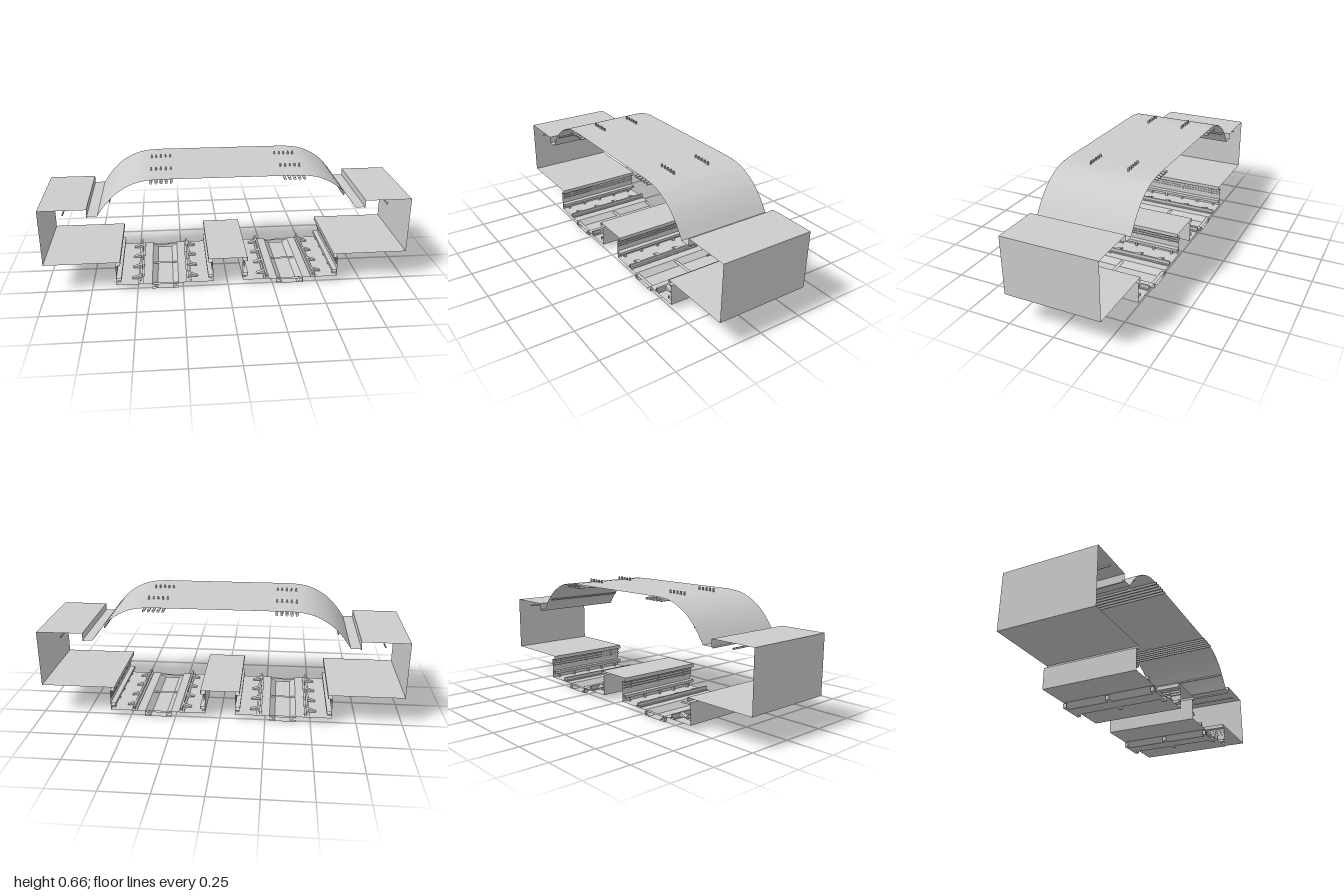
import * as THREE from 'three';

const HALF = 0.26; // half length of the tunnel section along z

export function createModel() {
  const model = new THREE.Group();
  model.name = 'stationTunnelSection';
  const concrete = new THREE.MeshStandardMaterial({ color: 0xcccccc, side: THREE.DoubleSide });
  concrete.name = 'concreteGrey';

  function add(parent, name, geometry, x = 0, y = 0, z = 0) {
    const mesh = new THREE.Mesh(geometry, concrete);
    mesh.name = name;
    mesh.position.set(x, y, z);
    parent.add(mesh);
    return mesh;
  }

  // Thin sheet: an [x, y] profile swept along z, smooth or with hard folds
  function sheet(points, smooth = false, z0 = -HALF, z1 = HALF) {
    const pos = [], index = [];
    points.forEach(([x, y]) => pos.push(x, y, z0, x, y, z1));
    for (let i = 0; i < points.length - 1; i++) {
      const a = i * 2;
      index.push(a, a + 1, a + 2, a + 1, a + 3, a + 2);
    }
    let g = new THREE.BufferGeometry();
    g.setAttribute('position', new THREE.Float32BufferAttribute(pos, 3));
    g.setIndex(index);
    if (!smooth) g = g.toNonIndexed();
    g.computeVertexNormals();
    return g;
  }

  // Hollow rectangular bar along z, open at both ends
  function tube(w, h, z0 = -HALF, z1 = HALF) {
    const a = w / 2, b = h / 2;
    return sheet([[-a, -b], [-a, b], [a, b], [a, -b], [-a, -b]], false, z0, z1);
  }

  // Vaulted ceiling
  const rise = [[0.69, 0.445], [0.65, 0.502], [0.6, 0.556], [0.55, 0.592],
    [0.49, 0.621], [0.43, 0.635], [0.36, 0.64]];
  const spline = new THREE.SplineCurve(rise.map(p => new THREE.Vector2(...p)));
  const half = spline.getPoints(24).map(p => [p.x, p.y]);
  const vault = [...half.map(([x, y]) => [-x, y]), ...half.slice().reverse()];
  add(model, 'vaultedCeiling', sheet(vault, true));

  // Central platform with its overhanging lips
  add(model, 'centralPlatform', sheet([[-0.083, 0.03], [-0.083, 0.147], [-0.108, 0.147],
    [-0.108, 0.168], [0.108, 0.168], [0.108, 0.147], [0.083, 0.147], [0.083, 0.03]]));

  for (const s of [-1, 1]) {
    const side = new THREE.Group();
    side.name = s > 0 ? 'leftSide' : 'rightSide';
    model.add(side);
    const mirror = pts => pts.map(([x, y]) => [s * x, y]);

    // Platform, outer wall and stepped ceiling
    add(side, 'sidePlatformAndWall', sheet(mirror([[0.615, 0.03], [0.615, 0.147], [0.59, 0.147],
      [0.59, 0.168], [1, 0.168], [1, 0.483], [0.745, 0.483], [0.745, 0.445], [0.69, 0.445]])));

    // Track bed with a central drain
    add(side, 'trackBed', sheet(mirror([[0.083, 0.03], [0.275, 0.03], [0.305, 0.001],
      [0.39, 0.001], [0.42, 0.03], [0.615, 0.03]])));
    for (const z of [-0.25, 0, 0.25]) {
      add(side, 'drainBeam', tube(0.148, 0.024, -0.01, 0.01), s * 0.3485, 0.012, z);
    }

    // Strip lights below the ceilings
    for (const [x, y] of [[0.87, 0.455], [0.745, 0.441], [0.622, 0.52]]) {
      add(side, 'stripLight', tube(0.006, 0.008, -0.25, 0.25), s * x, y);
    }

    // Overhead pipes and their hangers, which pass through the vault
    for (let i = 0; i < 5; i++) {
      const x = s * (0.298 + i * 0.026);
      const pipe = new THREE.CylinderGeometry(0.007, 0.007, 0.54, 10, 1, true);
      pipe.rotateX(Math.PI / 2);
      add(side, 'overheadPipe', pipe, x, 0.625);
      for (const z of [-0.105, 0.109]) {
        add(side, 'pipeHanger', new THREE.BoxGeometry(0.008, 0.024, 0.008), x, 0.644, z);
      }
    }

    for (const t of [-1, 1]) {
      // Running rail with wedge fasteners on its outer side
      const rail = s * 0.349 + t * 0.133;
      add(side, 'railFoot', tube(0.03, 0.006), rail, 0.033);
      add(side, 'railHead', tube(0.01, 0.018), rail, 0.045);
      const wedge = new THREE.Shape();
      wedge.moveTo(0, 0.035);
      wedge.lineTo(t * 0.05, 0.035);
      wedge.lineTo(t * 0.045, 0.04);
      wedge.lineTo(t * 0.005, 0.053);
      for (let i = 0; i < 4; i++) {
        const z = -0.195 + i * 0.13;
        const g = new THREE.ExtrudeGeometry(wedge, { depth: 0.024, bevelEnabled: false });
        add(side, 'railFastener', g, rail, 0, z - 0.012);
      }

      // Covered conductor rail beside the wall
      const cover = s * 0.349 + t * 0.252;
      add(side, 'conductorCover', tube(0.028, 0.016), cover, 0.063);
      for (let i = 0; i < 5; i++) {
        add(side, 'conductorPost', new THREE.BoxGeometry(0.012, 0.026, 0.012),
          cover, 0.043, -0.22 + i * 0.11);
      }

      // Cables on the track wall
      const wall = s * 0.349 + t * 0.262;
      for (const y of [0.108, 0.122, 0.136]) {
        add(side, 'wallCable', tube(0.004, 0.004), wall - t * 0.003, y);
      }
      for (const z of [-0.2, 0, 0.2]) {
        add(side, 'cableBracket', new THREE.BoxGeometry(0.006, 0.042, 0.008), wall, 0.121, z);
      }
    }
  }
  return model;
}
